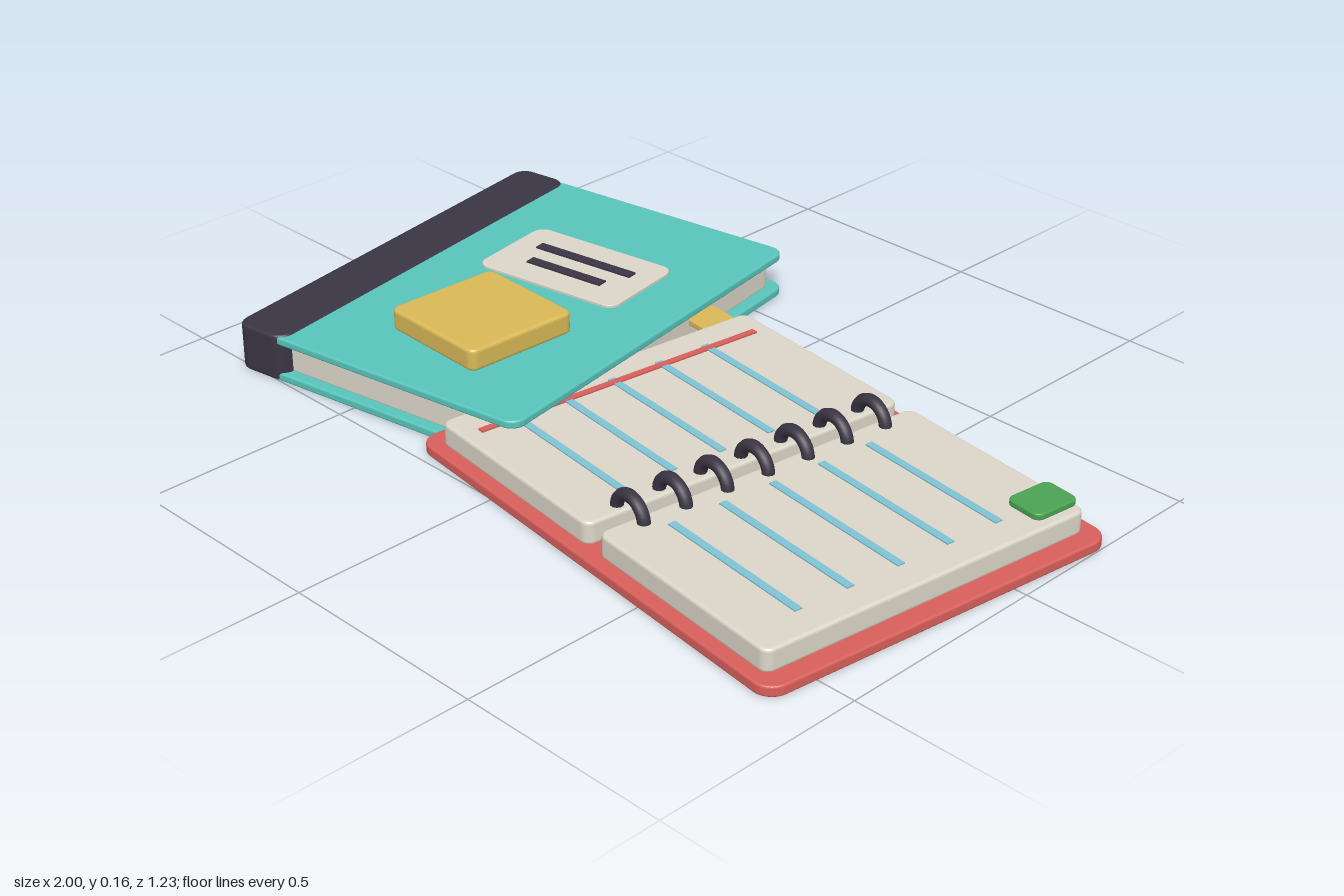
import * as THREE from 'three';

const paint = (name, color) => {
  const m = new THREE.MeshStandardMaterial({ color });
  m.name = name;
  return m;
};

// Flat block with rounded corners and a soft bevel, lying between y0 and y1
function slab(name, mat, w, d, y0, y1, r, bevel = 0.005, x = 0, z = 0) {
  const a = w / 2 - bevel, b = d / 2 - bevel;
  const c = Math.max(r - bevel, 0.001);
  const s = new THREE.Shape();
  s.moveTo(-a + c, -b);
  s.lineTo(a - c, -b);
  s.absarc(a - c, -b + c, c, -Math.PI / 2, 0);
  s.absarc(a - c, b - c, c, 0, Math.PI / 2);
  s.absarc(-a + c, b - c, c, Math.PI / 2, Math.PI);
  s.absarc(-a + c, -b + c, c, Math.PI, Math.PI * 1.5);
  const geo = new THREE.ExtrudeGeometry(s, {
    depth: y1 - y0 - 2 * bevel, bevelEnabled: true, bevelSize: bevel,
    bevelThickness: bevel, bevelSegments: 3, curveSegments: 6,
  });
  geo.translate(0, 0, bevel).rotateX(-Math.PI / 2);
  const mesh = new THREE.Mesh(geo, mat);
  mesh.name = name;
  mesh.position.set(x, y0, z);
  return mesh;
}

// Thin printed strip
function strip(name, mat, w, d, y0, y1, x, z) {
  const mesh = new THREE.Mesh(new THREE.BoxGeometry(w, y1 - y0, d), mat);
  mesh.name = name;
  mesh.position.set(x, (y0 + y1) / 2, z);
  return mesh;
}

export function createModel() {
  const teal = paint('teal cover', 0x58c5bc);
  const red = paint('coral cover', 0xd9605c);
  const paper = paint('paper', 0xdcd7c9);
  const dark = paint('dark binding', 0x3b3544);
  const yellow = paint('yellow note', 0xdab957);
  const green = paint('green tab', 0x4ba353);
  const blue = paint('blue rule', 0x7fc3d4);

  const model = new THREE.Group();
  model.name = 'notebooks';

  // Closed notebook
  const closed = new THREE.Group();
  closed.name = 'closedNotebook';
  closed.position.set(-0.527, 0, -0.051);
  closed.rotation.y = 0.17;
  closed.add(
    slab('bottomCover', teal, 0.787, 1.022, 0, 0.02, 0.035),
    slab('closedPages', paper, 0.73, 0.97, 0.018, 0.092, 0.02),
    slab('topCover', teal, 0.787, 1.022, 0.09, 0.109, 0.035),
    slab('spine', dark, 0.14, 1.03, 0.001, 0.113, 0.035, 0.008, -0.327, 0),
    slab('label', paper, 0.39, 0.24, 0.107, 0.116, 0.03, 0.002, 0.052, -0.145),
    strip('labelLine', dark, 0.27, 0.026, 0.115, 0.12, 0.055, -0.18),
    strip('labelLine', dark, 0.21, 0.026, 0.115, 0.12, 0.054, -0.107),
  );
  model.add(closed);

  // Pad of sticky notes resting on the closed notebook
  const pad = slab('stickyPad', yellow, 0.287, 0.287, 0.108, 0.16, 0.02, 0.008, -0.422, 0.152);
  pad.rotation.y = -0.04;
  model.add(pad);

  // Open notebook
  const open = new THREE.Group();
  open.name = 'openNotebook';
  open.position.set(0.37, 0, 0.107);
  open.rotation.y = -0.125;
  open.add(slab('openCover', red, 1.17, 0.887, 0, 0.025, 0.045));
  for (const side of [-1, 1]) {
    open.add(slab('openPages', paper, 0.523, 0.825, 0.023, 0.076, 0.022, 0.007, side * 0.279, 0));
    for (let i = 0; i < 5; i++) {
      open.add(strip('ruledLine', blue, 0.39, 0.018, 0.074, 0.079, side * 0.275, -0.24 + i * 0.129));
    }
  }
  open.add(
    strip('marginLine', red, 0.016, 0.74, 0.074, 0.08, -0.454, 0),
    slab('greenTab', green, 0.092, 0.115, 0.074, 0.09, 0.018, 0.004, 0.471, -0.358),
    slab('yellowTab', yellow, 0.1, 0.09, 0.05, 0.066, 0.015, 0.004, -0.585, -0.347),
  );

  // Binding rings arching over the gutter
  const ringGeo = new THREE.TorusGeometry(0.045, 0.0145, 10, 20, Math.PI);
  for (let i = 0; i < 7; i++) {
    const ring = new THREE.Mesh(ringGeo, dark);
    ring.name = 'bindingRing';
    ring.position.set(0, 0.071, (i - 3) * 0.106);
    open.add(ring);
  }
  model.add(open);
  return model;
}
